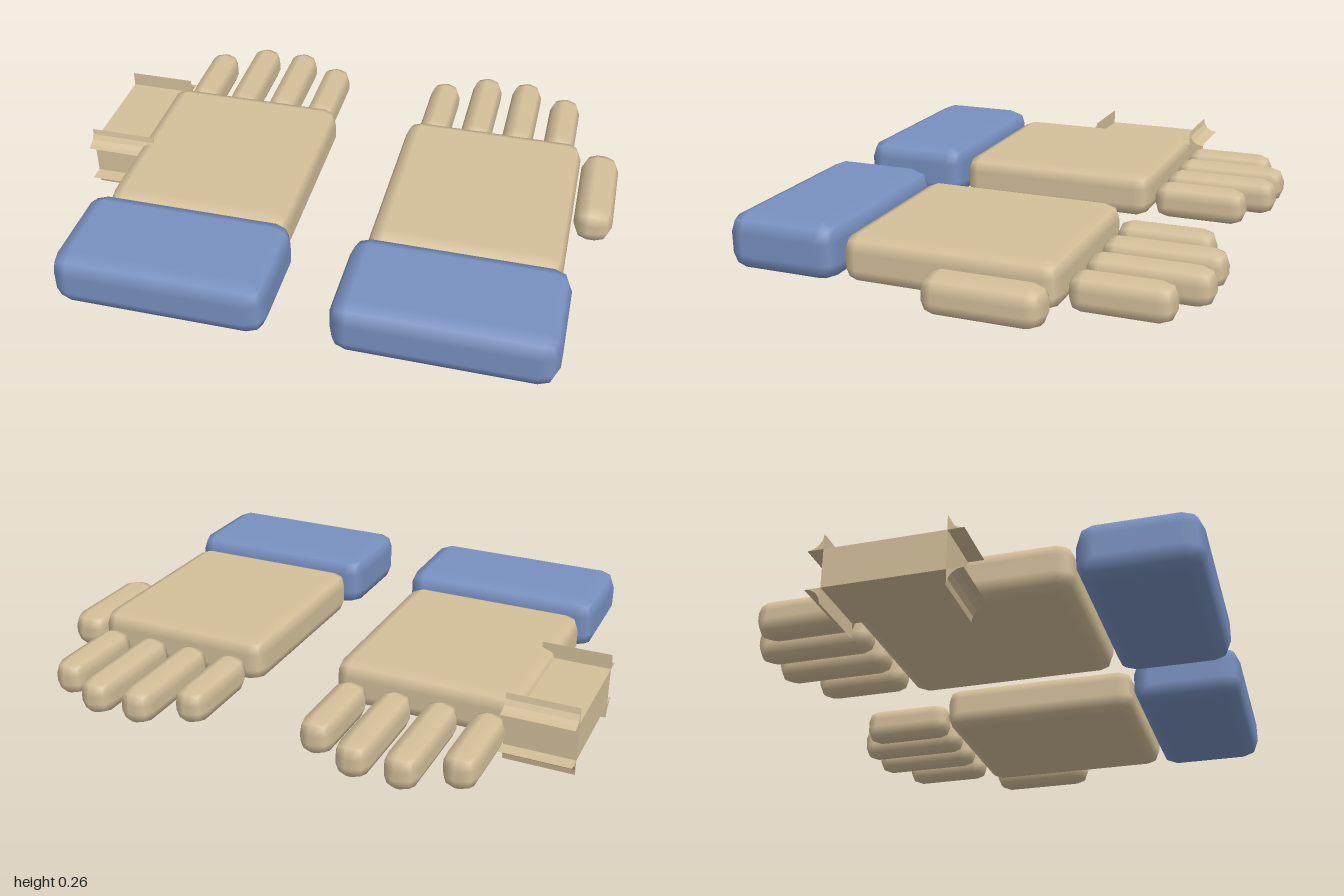
import * as THREE from 'three';
import { RoundedBoxGeometry } from 'three/addons/geometries/RoundedBoxGeometry.js';

export function createModel() {
  const tan = new THREE.MeshStandardMaterial({ color: 0xd4bf9a });
  tan.name = 'tan fabric';
  const blue = new THREE.MeshStandardMaterial({ color: 0x7890c0 });
  blue.name = 'blue cuff';

  const add = (parent, name, geometry, material, x, y, z) => {
    const mesh = new THREE.Mesh(geometry, material);
    mesh.name = name;
    mesh.position.set(x, y, z);
    parent.add(mesh);
  };
  const block = (w, h, d, r) => new RoundedBoxGeometry(w, h, d, 1, r);

  // Concave three-pointed strip that runs along x outside one edge of a box
  const flare = (sz, sy, halfZ, halfY, r, length) => {
    const shape = new THREE.Shape();
    shape.moveTo(sz * halfZ, sy * halfY);
    shape.lineTo(sz * halfZ, sy * (halfY + r));
    for (let i = 1; i <= 4; i++) {
      const a = (i / 4) * Math.PI / 2;
      shape.lineTo(sz * (halfZ + r - r * Math.cos(a)), sy * (halfY + r - r * Math.sin(a)));
    }
    const g = new THREE.ExtrudeGeometry(shape, { depth: length, bevelEnabled: false });
    return g.translate(0, 0, -length / 2).rotateY(-Math.PI / 2);
  };

  // Palm, cuff and four fingers shared by both gloves
  const glove = (name, x) => {
    const g = new THREE.Group();
    g.name = name;
    g.position.x = x;
    add(g, 'cuff', block(0.76, 0.205, 0.41, 0.065), blue, 0, 0.162, 0.602);
    add(g, 'palm', block(0.685, 0.17, 0.76, 0.055), tan, 0, 0.145, 0.01);
    [-0.249, -0.083, 0.083, 0.249].forEach((fx, i) => {
      const length = i === 0 || i === 3 ? 0.35 : 0.43;
      add(g, 'finger', block(0.12, 0.135, length, 0.052), tan, fx, 0.125, -0.38 - length / 2);
    });
    return g;
  };

  const model = new THREE.Group();
  model.name = 'pair of gloves';
  const left = glove('leftGlove', 0.51);
  const right = glove('rightGlove', -0.463);
  model.add(left, right);

  // Left thumb is a plain rounded block
  add(left, 'thumb', block(0.14, 0.14, 0.414, 0.055), tan, 0.42, 0.125, -0.165);

  // Right thumb is a square block with flared long edges
  const thumb = new THREE.Group();
  thumb.name = 'flaredThumb';
  thumb.position.set(-0.412, 0.125, -0.163);
  add(thumb, 'thumbCore', new THREE.BoxGeometry(0.25, 0.14, 0.414), tan, 0, 0, 0);
  for (const sz of [-1, 1]) {
    for (const sy of [-1, 1]) {
      add(thumb, 'thumbFlare', flare(sz, sy, 0.207, 0.07, 0.055, 0.25), tan, 0, 0, 0);
    }
  }
  right.add(thumb);
  return model;
}
